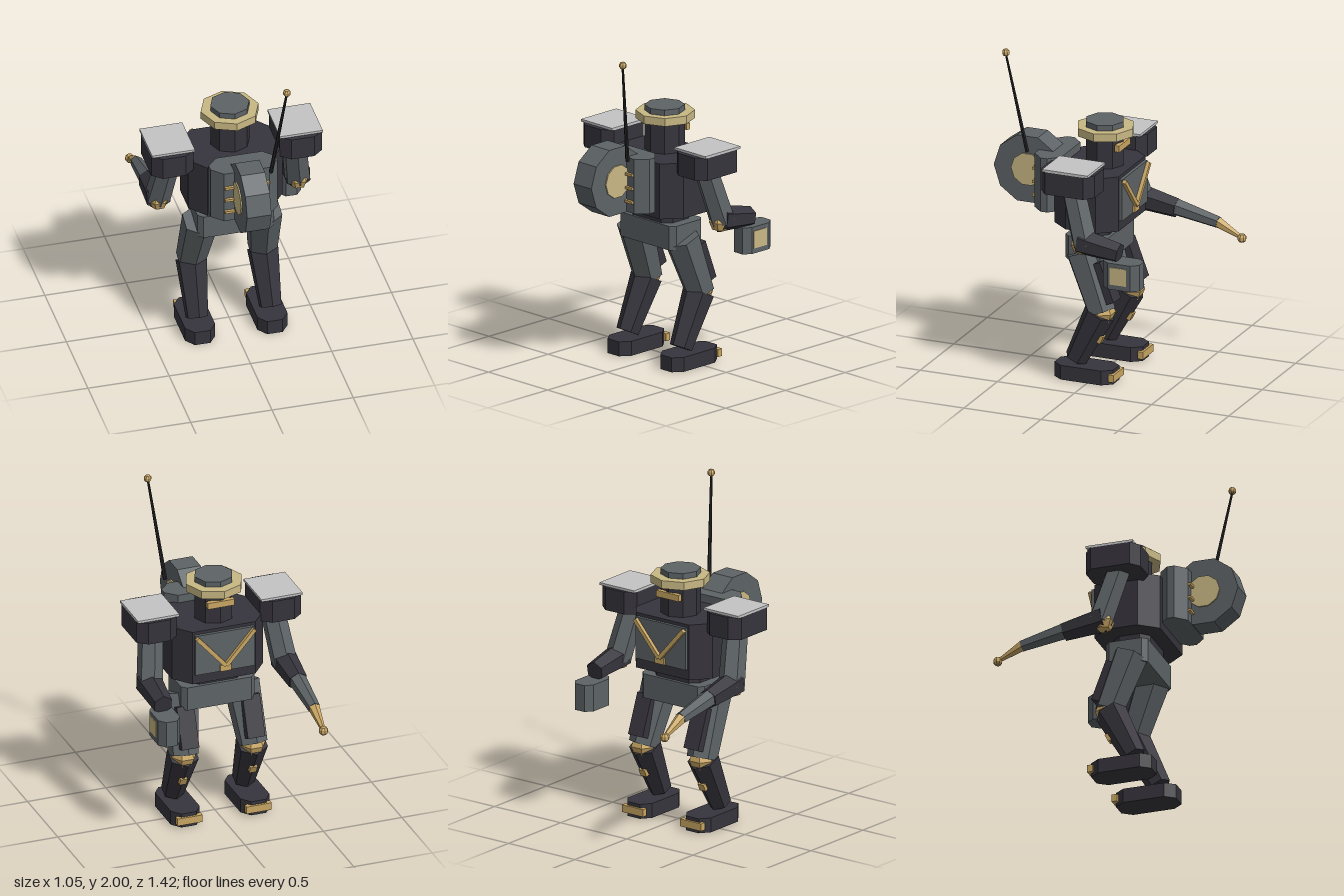
import * as THREE from 'three';

const mat = (name, color) => {
  const m = new THREE.MeshStandardMaterial({ color });
  m.name = name;
  return m;
};

export function createModel() {
  const root = new THREE.Group();
  root.name = 'robot';
  const dark = mat('dark armour', 0x36343c);
  const gray = mat('gray steel', 0x5d6366);
  const gold = mat('gold trim', 0xc9a663);
  const khaki = mat('pale gold', 0xc8b884);
  const pale = mat('light gray pad', 0xc4c4c4);
  const black = mat('black wire', 0x232326);
  const V = (x, y, z) => new THREE.Vector3(x, y, z);

  // Faceted mesh with hard edges
  const add = (name, geo, material, pos = [0, 0, 0]) => {
    const g = geo.index ? geo.toNonIndexed() : geo;
    g.computeVertexNormals();
    const m = new THREE.Mesh(g, material);
    m.name = name;
    m.position.set(...pos);
    root.add(m);
    return m;
  };
  // Box from min/max ranges
  const box = (name, material, x, y, z) => add(name,
    new THREE.BoxGeometry(x[1] - x[0], y[1] - y[0], z[1] - z[0]), material,
    [(x[0] + x[1]) / 2, (y[0] + y[1]) / 2, (z[0] + z[1]) / 2]);
  // Upright prism with chamfered vertical corners (cx along x, cz along z)
  const prism = (name, material, x, y, z, cx, cz = cx) => {
    const w = (x[1] - x[0]) / 2, d = (z[1] - z[0]) / 2;
    const pts = [[w, d - cz], [w - cx, d], [cx - w, d], [-w, d - cz],
      [-w, cz - d], [cx - w, -d], [w - cx, -d], [w, cz - d]];
    const shape = new THREE.Shape(pts.map(p => new THREE.Vector2(...p)));
    const geo = new THREE.ExtrudeGeometry(shape, { depth: y[1] - y[0], bevelEnabled: false });
    geo.rotateX(-Math.PI / 2);
    return add(name, geo, material, [(x[0] + x[1]) / 2, y[0], (z[0] + z[1]) / 2]);
  };
  // Tapered bar between two points, ra at a, rb at b
  const bar = (name, material, a, b, ra, rb, sides = 6) => {
    const m = add(name, new THREE.CylinderGeometry(ra, rb, a.distanceTo(b), sides), material);
    m.position.copy(a).add(b).multiplyScalar(0.5);
    m.quaternion.setFromUnitVectors(V(0, 1, 0), a.clone().sub(b).normalize());
    return m;
  };
  const ball = (name, material, p, r, sides = 6, rings = 4) =>
    add(name, new THREE.SphereGeometry(r, sides, rings), material, p);
  const disc = (name, material, r, y, z, sides = 8) =>
    add(name, new THREE.CylinderGeometry(r, r, y[1] - y[0], sides), material, [0, (y[0] + y[1]) / 2, z]);

  // Trunk
  prism('torso', dark, [-0.29, 0.29], [0.945, 1.29], [-0.155, 0.26], 0.09, 0.11);
  prism('waist', dark, [-0.17, 0.17], [0.885, 0.945], [-0.06, 0.17], 0.05);
  prism('pelvis', gray, [-0.235, 0.235], [0.735, 0.885], [-0.08, 0.185], 0.03);
  box('chestPlate', gray, [-0.19, 0.19], [1.01, 1.27], [-0.175, -0.14]);
  for (const s of [-1, 1]) {
    const stripe = add('chestChevron', new THREE.BoxGeometry(0.275, 0.025, 0.025), gold, [s * 0.092, 1.155, -0.185]);
    stripe.rotation.z = s * 0.85;
  }
  box('chestBadge', gold, [-0.035, 0.035], [1.015, 1.055], [-0.19, -0.17]);

  // Head and hat
  disc('head', dark, 0.12, [1.28, 1.48], 0.02);
  disc('hatBrim', khaki, 0.178, [1.48, 1.53], 0.015);
  disc('hatCrown', gray, 0.12, [1.53, 1.565], 0.02);
  box('visor', gold, [-0.085, 0.085], [1.4, 1.44], [-0.11, -0.08]);

  // Backpack with drum, vents and aerial
  prism('backpack', gray, [-0.205, 0.205], [1.0, 1.34], [0.24, 0.415], 0.065);
  const wheel = (name, material, r, half, sides) => {
    const geo = new THREE.CylinderGeometry(r, r, half * 2, sides);
    geo.rotateZ(Math.PI / 2);
    return add(name, geo, material, [0, 1.205, 0.49]);
  };
  wheel('drum', gray, 0.218, 0.075, 10);
  wheel('drumCap', khaki, 0.103, 0.083, 10);
  for (const s of [-1, 1]) for (const y of [1.07, 1.155, 1.24])
    add('packVent', new THREE.BoxGeometry(0.06, 0.016, 0.025), gold, [s * 0.107, y, 0.42]);
  bar('aerial', black, V(0.205, 1.975, 0.575), V(0.135, 1.34, 0.465), 0.007, 0.013);
  ball('aerialTip', gold, [0.205, 1.975, 0.573], 0.024, 8, 5);

  // Paired limbs
  for (const s of [-1, 1]) {
    const range = (a, b) => (s > 0 ? [a, b] : [-b, -a]);
    // Shoulder and arm
    prism('shoulder', dark, range(0.265, 0.525), [1.24, 1.38], [-0.115, 0.23], 0.06, 0.05);
    box('shoulderPad', pale, range(0.262, 0.525), [1.38, 1.395], [-0.095, 0.2]);
    bar('upperArm', gray, V(s * 0.385, 1.26, 0.06), V(s * 0.43, 0.92, -0.04), 0.075, 0.08);
    ball('elbow', gold, [s * 0.43, 0.925, -0.02], 0.07);
    bar('forearm', dark, V(s * 0.43, 0.942, -0.01), V(s * 0.43, 0.9, -0.262), 0.083, 0.062);

    // Leg
    const hip = V(s * 0.196, 0.79, 0.075), knee = V(s * 0.22, 0.435, -0.055);
    bar('thigh', gray, hip, knee, 0.113, 0.092);
    const guard = add('thighGuard', new THREE.BoxGeometry(0.11, 0.26, 0.055), dark, [s * 0.21, 0.625, -0.08]);
    guard.rotation.x = 0.36;
    ball('knee', gold, [s * 0.22, 0.43, -0.062], 0.078);
    bar('shin', dark, V(s * 0.22, 0.43, -0.045), V(s * 0.226, 0.118, 0.108), 0.098, 0.07);
    const stud = add('shinStud', new THREE.BoxGeometry(0.045, 0.05, 0.03), gold, [s * 0.223, 0.26, -0.05]);
    stud.rotation.x = -0.46;

    // Foot
    prism('foot', dark, range(0.13, 0.315), [0, 0.09], [-0.15, 0.23], 0.045, 0.06);
    box('toeCap', gold, range(0.14, 0.3), [0.022, 0.068], [-0.165, -0.13]);
  }

  // Blaster on the right arm
  const x = -0.43;
  bar('blasterBarrel', gray, V(x, 0.908, -0.25), V(x, 0.848, -0.53), 0.055, 0.038);
  bar('blasterNozzle', gold, V(x, 0.85, -0.525), V(x, 0.775, -0.675), 0.036, 0.014);
  ball('blasterTip', gold, [x, 0.77, -0.682], 0.029, 8, 5);

  // Fist on the left arm
  prism('fist', gray, [0.36, 0.5], [0.69, 0.855], [-0.405, -0.17], 0.035, 0.045);
  box('fistPanel', khaki, [0.497, 0.505], [0.722, 0.83], [-0.335, -0.228]);

  return root;
}
